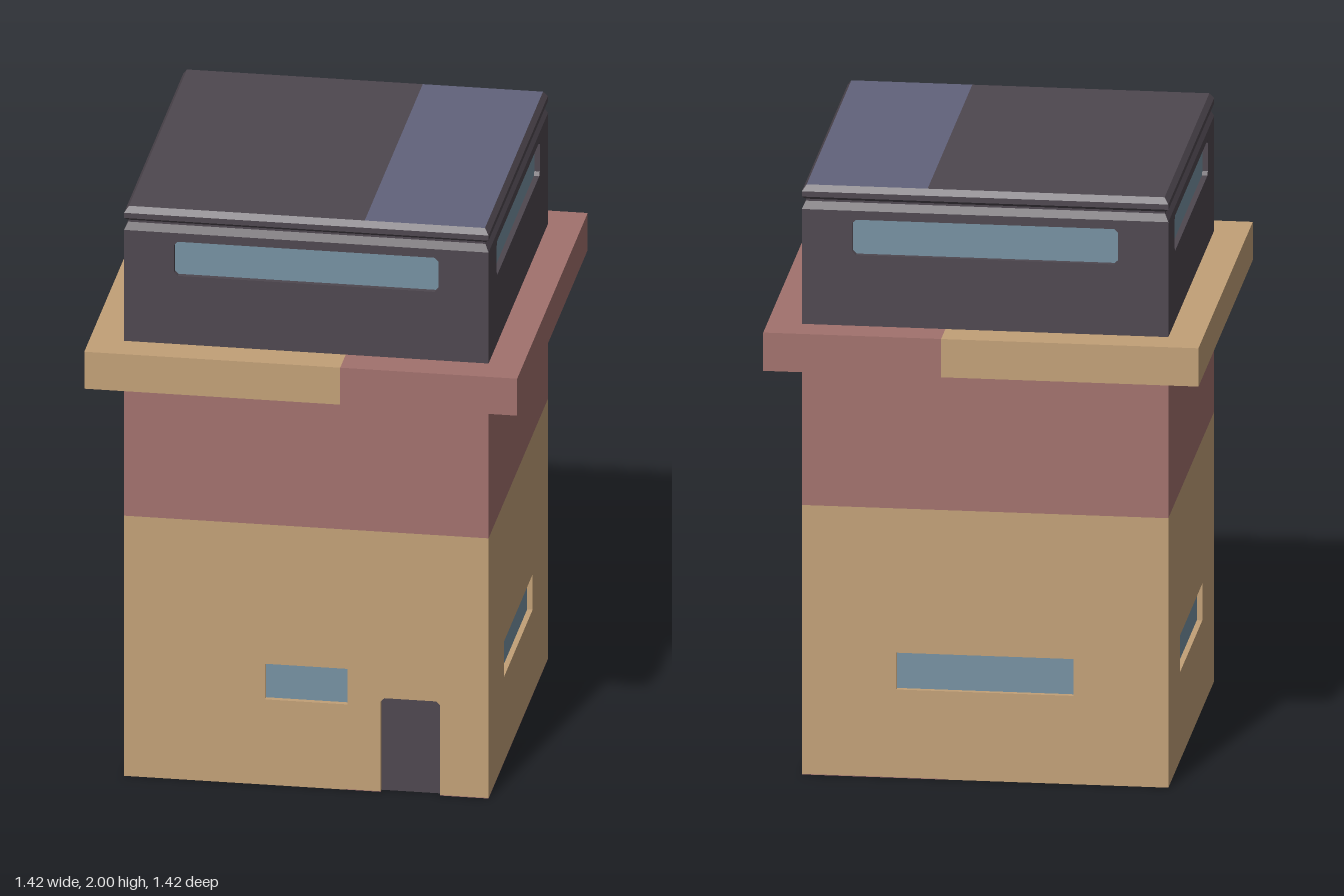
import * as THREE from 'three';

const mat = (name, color) => {
  const m = new THREE.MeshStandardMaterial({ color });
  m.name = name;
  return m;
};

// Outline of a rectangle with clipped corners
function rectPoints(x0, x1, y0, y1, c = 0) {
  const p = c
    ? [[x0 + c, y0], [x1 - c, y0], [x1, y0 + c], [x1, y1 - c], [x1 - c, y1], [x0 + c, y1], [x0, y1 - c], [x0, y0 + c]]
    : [[x0, y0], [x1, y0], [x1, y1], [x0, y1]];
  return p.map(([x, y]) => new THREE.Vector2(x, y));
}

export function createModel() {
  const tan = mat('tan wall', 0xc2a077);
  const rose = mat('rose wall', 0xa1716d);
  const dark = mat('dark cladding', 0x4e474f);
  const glass = mat('window glass', 0x7691a1);
  const blue = mat('blue roofing', 0x61627b);

  const model = new THREE.Group();
  model.name = 'tower';
  const H = 0.6;       // half width of the tower
  const T = 0.02;      // wall thickness, depth of the recesses
  const SPLIT = 0.13;  // where tan meets rose on slab and floor
  const FLOOR = 0.002;
  const DOOR = [0.245, 0.44, 0.33];

  const add = (parent, name, geometry, material, x = 0, y = 0, z = 0) => {
    const mesh = new THREE.Mesh(geometry, material);
    mesh.name = name;
    mesh.position.set(x, y, z);
    parent.add(mesh);
    return mesh;
  };
  const box = (parent, name, material, x0, x1, y0, y1, z0, z1) =>
    add(parent, name, new THREE.BoxGeometry(x1 - x0, y1 - y0, z1 - z0), material,
      (x0 + x1) / 2, (y0 + y1) / 2, (z0 + z1) / 2);
  const extrude = (shape, depth) =>
    new THREE.ExtrudeGeometry(shape, { depth, bevelEnabled: false });

  // Four sides, each with a lower wall and an upper wall pierced by a window
  ['front', 'right', 'back', 'left'].forEach((side, i) => {
    const wall = new THREE.Group();
    wall.name = side + 'Side';
    wall.rotation.y = i * Math.PI / 2;
    model.add(wall);

    const w = i % 2 ? H - T : H;
    const half = i === 0 ? 0.135 : 0.29;

    // Lower wall, with a doorway cut into the front one
    let outline = rectPoints(-w, w, FLOOR, 0.915);
    if (i === 0) {
      const [d0, d1, top] = DOOR, c = 0.012;
      const cut = [[d0, FLOOR], [d0, top - c], [d0 + c, top], [d1 - c, top], [d1, top - c], [d1, FLOOR]];
      outline.splice(1, 0, ...cut.map(([x, y]) => new THREE.Vector2(x, y)));
      box(wall, 'door', dark, d0 - 0.01, d1 + 0.01, 0, top + 0.01, H - T - 0.006, H - T + 0.002);
    }
    const lower = new THREE.Shape(outline);
    lower.holes.push(new THREE.Path(rectPoints(-half, half, 0.3, 0.425)));
    add(wall, 'lowerWall', extrude(lower, T), tan, 0, 0, H - T);
    box(wall, 'lowerWindow', glass, -half - 0.01, half + 0.01, 0.29, 0.435, H - T - 0.005, H - T + 0.002);

    // Upper wall
    const upper = new THREE.Shape(rectPoints(-w, w, 1.53, 1.92));
    upper.holes.push(new THREE.Path(rectPoints(-0.435, 0.435, 1.77, 1.89, 0.012)));
    add(wall, 'upperWall', extrude(upper, T), dark, 0, 0, H - T);
    box(wall, 'upperWindow', glass, -0.445, 0.445, 1.76, 1.9, H - T - 0.005, H - T + 0.002);
  });

  // Rose storey below the slab
  box(model, 'middleStorey', rose, -H, H, 0.915, 1.4, -H, H);

  // Projecting slab in two colours
  const S = 0.7125;
  box(model, 'slabLeftPart', tan, -S, SPLIT, 1.4, 1.53, -S, S);
  box(model, 'slabRightPart', rose, SPLIT, S, 1.4, 1.53, -S, S);

  // Underside in two colours, notched at the doorway
  box(model, 'floorTan', tan, -H, SPLIT, 0, FLOOR, -H, H);
  const floor = [[SPLIT, -H], [DOOR[0], -H], [DOOR[0], T - H], [DOOR[1], T - H], [DOOR[1], -H], [H, -H], [H, H], [SPLIT, H]];
  const floorShape = new THREE.Shape(floor.map(([x, y]) => new THREE.Vector2(x, y)));
  add(model, 'floorRose', extrude(floorShape, FLOOR), rose, 0, FLOOR, 0).rotation.x = -Math.PI / 2;
  model.getObjectByName('floorRose').position.y = 0;

  // Grooved cornice, a four-sided lathe
  const profile = [[0.6, 1.92], [0.588, 1.945], [0.588, 1.952], [0.6, 1.962], [0.6, 1.98], [0.586, 2]]
    .map(([r, y]) => new THREE.Vector2(r * Math.SQRT2, y));
  const cornice = new THREE.LatheGeometry(profile, 4, Math.PI / 4).toNonIndexed();
  cornice.computeVertexNormals();
  add(model, 'cornice', cornice, dark);

  // Flat roof in two colours
  const R = 0.586;
  box(model, 'roofDark', dark, -R, 0.19, 1.992, 2, -R, R);
  box(model, 'roofBlue', blue, 0.19, R, 1.992, 2, -R, R);

  return model;
}
